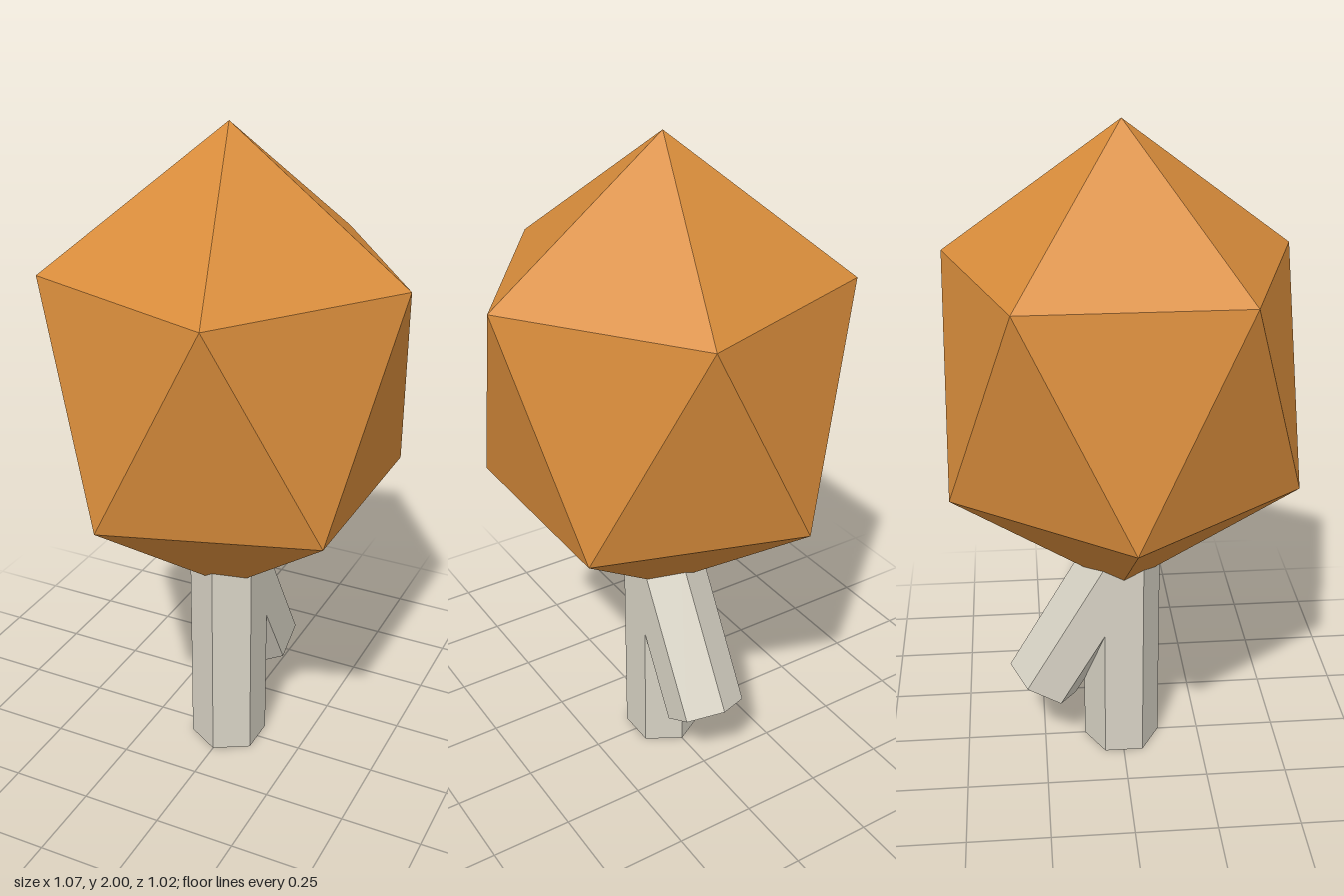
import * as THREE from 'three';

export function createModel() {
  const group = new THREE.Group();
  const foliageMat = new THREE.MeshStandardMaterial({ color: 0xd88c3b, flatShading: true });
  foliageMat.name = 'autumn orange';
  const barkMat = new THREE.MeshStandardMaterial({ color: 0xd8d3c5, flatShading: true });
  barkMat.name = 'pale bark';

  const add = (name, geometry, material) => {
    const mesh = new THREE.Mesh(geometry, material);
    mesh.name = name;
    group.add(mesh);
    return mesh;
  };

  // Foliage: an icosahedron standing on one corner, stretched upwards
  const golden = (1 + Math.sqrt(5)) / 2;
  const crown = new THREE.IcosahedronGeometry(0.598, 0);
  crown.rotateZ(-Math.atan(1 / golden));
  crown.scale(1, 0.722 / 0.598, 1);
  add('foliage', crown, foliageMat).position.y = 1.278;

  // Hexagonal post with its base at the origin
  const post = (length) => new THREE.CylinderGeometry(0.12, 0.12, length, 6).translate(0, length / 2, 0);

  // Trunk: its top is hidden inside the foliage
  add('trunk', post(0.8), barkMat);

  // Branch: hangs out behind the trunk at 30 degrees
  const branch = add('branch', post(0.5), barkMat);
  branch.position.set(0, 0.222, -0.252);
  branch.rotation.x = Math.PI / 6;

  return group;
}
